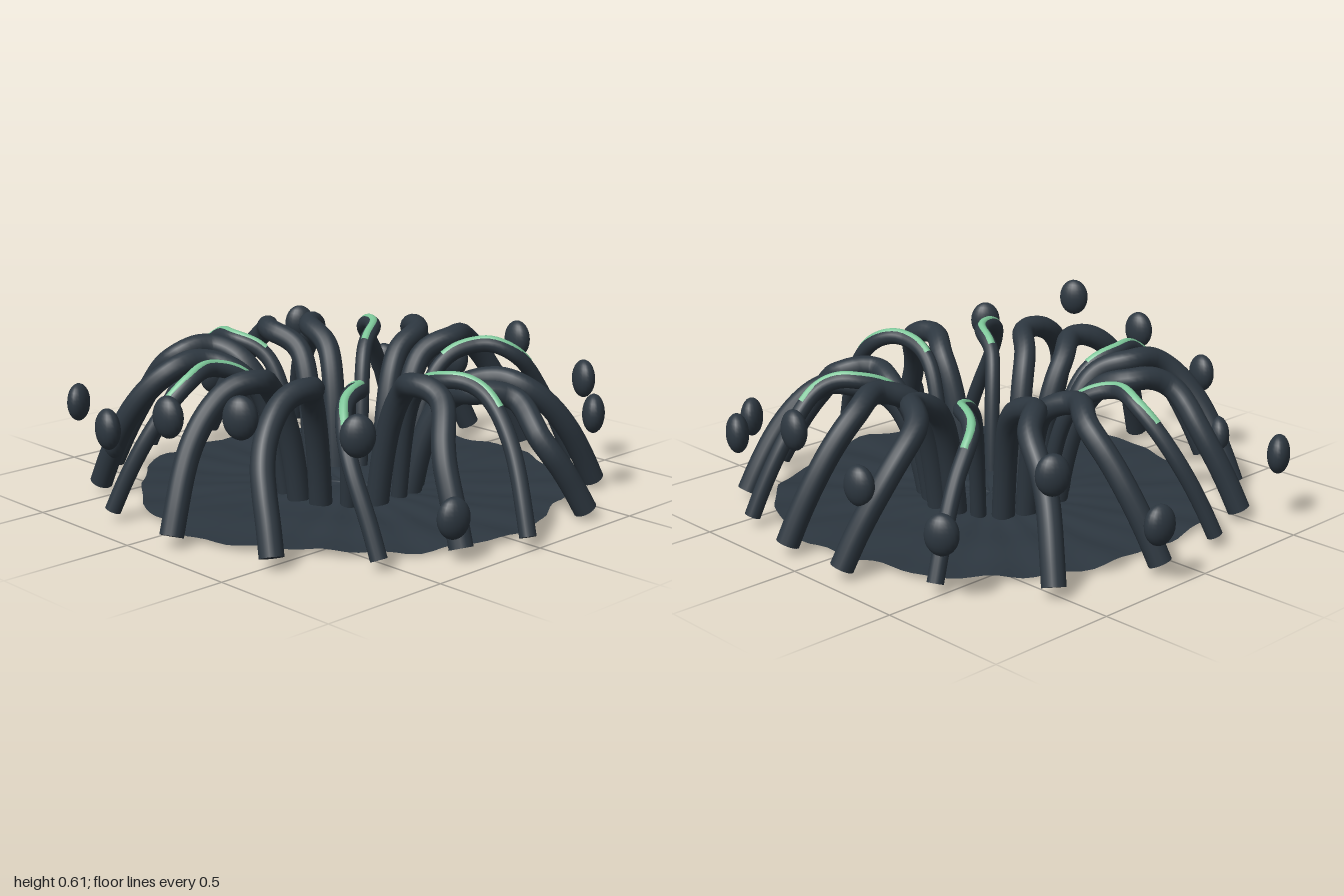
import * as THREE from 'three';

const CENTRE = new THREE.Vector3(0.05, 0, 0);

// Each arm clockwise from the back: tip x, tip z, then four sideways bends along it (hundredths)
const ARMS = [
  [14, -92, -3, 0, -5, -4], [44, -85, -2, -1, 4, 1], [68, -69, 3, 3, 8, 6], [90, -37, -1, 6, 1, 8],
  [97, 3, 3, 2, -4, -4], [89, 28, -3, -1, -5, 0], [78, 56, 2, 0, 7, 7], [52, 80, 0, -3, 4, 6],
  [12, 90, 1, -4, 1, 3], [-25, 87, 1, 1, -5, -5], [-56, 69, -6, -5, -11, -9], [-76, 48, 0, 2, -5, 0],
  [-86, 22, 2, 0, 6, 6], [-89, -11, 4, 1, 8, 6], [-78, -52, 0, -4, 1, -1], [-48, -78, -1, 0, -6, -3],
  [-16, -92, -2, -1, -11, -9],
];
const VEINED = [1, 4, 6, 9, 12, 15]; // slim arms with a green vein
const LOW = [2, 3]; // arms with a lower arch

// Floating pods: x, y, z in hundredths
const PODS = [
  [-57, 27, -83], [-18, 34, -85], [13, 47, -88], [48, 37, -87], [72, 32, -63], [89, 17, 32], [71, 47, 59],
  [50, 55, 91], [13, 48, 91], [-21, 37, 91], [-49, 23, 68], [-87, 28, 56], [-96, 24, -20], [-77, 45, -52],
];

// Winding plan path from the root ring to the tip
function armPlan([tipX, tipZ, ...bends], i) {
  const crowding = 11 * Math.exp(-(((i - 3.7) / 2.2) ** 2));
  const angle = THREE.MathUtils.degToRad(-81 + 21.18 * i - crowding);
  const root = new THREE.Vector3(Math.cos(angle), 0, Math.sin(angle)).multiplyScalar(0.25).add(CENTRE);
  const tip = new THREE.Vector3(tipX / 100, 0, tipZ / 100);
  const along = tip.clone().sub(root).normalize();
  const side = new THREE.Vector3(-along.z, 0, along.x);
  return new THREE.CatmullRomCurve3([0, ...bends, 0].map((bend, k) =>
    root.clone().lerp(tip, k / 5).addScaledVector(side, bend / 92)));
}

// Steep rise, rounded top, long fall
function archHeight(f) {
  const rise = 1 - 0.95 * Math.exp(-f / 0.1);
  const fall = 1 - 0.9 * (Math.max(0, f - 0.43) / 0.57) ** 2;
  return rise * fall;
}

// Crumpled round sheet with a lobed rim and creases gathered at the centre
function skirtGeometry() {
  const geo = new THREE.RingGeometry(0.001, 1, 120, 28);
  geo.rotateX(-Math.PI / 2);
  const pos = geo.attributes.position;
  for (let i = 0; i < pos.count; i++) {
    const x = pos.getX(i), z = pos.getZ(i);
    const a = Math.atan2(z, x), t = Math.hypot(x, z);
    const notch = 0.03 * Math.max(0, Math.sin(a)) * Math.sin(2 * a) ** 2;
    const rim = 0.812 - notch + 0.012 * Math.sin(5 * a + 0.6) + 0.01 * Math.sin(9 * a + 2) + 0.007 * Math.sin(17 * a);
    const crease = Math.sin(7 * a + 5 * t) + 0.6 * Math.sin(16 * a - 3 * t);
    const ripple = Math.sin(11 * x + 4 * z) * Math.sin(9 * z - 3 * x);
    const y = 0.032 + 0.06 * crease * t * Math.exp(-8 * t) + 0.006 * ripple + 0.005 * t * Math.sin(23 * a);
    pos.setXYZ(i, CENTRE.x + x * rim, y, z * rim - 0.015);
  }
  geo.computeVertexNormals();
  return geo;
}

export function createModel() {
  const model = new THREE.Group();
  const slate = new THREE.MeshStandardMaterial({ color: 0x2d3740, side: THREE.DoubleSide });
  slate.name = 'dark slate';
  const green = new THREE.MeshStandardMaterial({ color: 0x7cc698 });
  green.name = 'pale green';

  const add = (parent, name, geometry, material) => {
    const mesh = new THREE.Mesh(geometry, material);
    mesh.name = name;
    parent.add(mesh);
    return mesh;
  };

  add(model, 'skirt', skirtGeometry(), slate);

  ARMS.forEach((arm, i) => {
    const group = new THREE.Group();
    group.name = 'arm';
    model.add(group);
    const plan = armPlan(arm, i);
    const veined = VEINED.includes(i);
    const radius = veined ? 0.03 : 0.043;
    const peak = LOW.includes(i) ? 0.46 : 0.54;
    const pointAt = (f) => plan.getPointAt(f).setY(peak * archHeight(f));

    // Sample more closely near the steep root
    const curve = new THREE.CatmullRomCurve3(
      Array.from({ length: 25 }, (_, k) => pointAt((k / 24) ** 1.5)));
    add(group, 'armTube', new THREE.TubeGeometry(curve, 64, radius, 14), slate);

    // Flat cut ends
    [0, 1].forEach((u) => {
      const cap = add(group, 'armEnd', new THREE.CircleGeometry(radius, 14), slate);
      cap.position.copy(curve.getPointAt(u));
      const outward = curve.getTangentAt(u).multiplyScalar(u ? 1 : -1);
      cap.quaternion.setFromUnitVectors(new THREE.Vector3(0, 0, 1), outward);
    });

    // Narrow green vein lying along the upper side of the slim arms
    if (veined) {
      const core = new THREE.CatmullRomCurve3(
        Array.from({ length: 14 }, (_, k) => pointAt(0.22 + 0.46 * k / 13)));
      const lifted = core.getPoints(26).map((point, k) => {
        const tangent = core.getTangent(k / 26);
        const up = new THREE.Vector3(0, 1, 0).addScaledVector(tangent, -tangent.y).normalize();
        return point.addScaledVector(up, 0.0155);
      });
      const path = new THREE.CatmullRomCurve3(lifted);
      add(group, 'vein', new THREE.TubeGeometry(path, 40, 0.0183, 12), green);
    }
  });

  // Pods: taller than wide, broad side facing outwards
  const podShape = new THREE.SphereGeometry(1, 20, 14);
  PODS.forEach(([x, y, z]) => {
    const pod = add(model, 'pod', podShape, slate);
    pod.position.set(x / 100, y / 100, z / 100);
    pod.rotation.y = Math.atan2(x, z);
    pod.scale.set(0.06, 0.074, 0.042);
  });

  return model;
}
